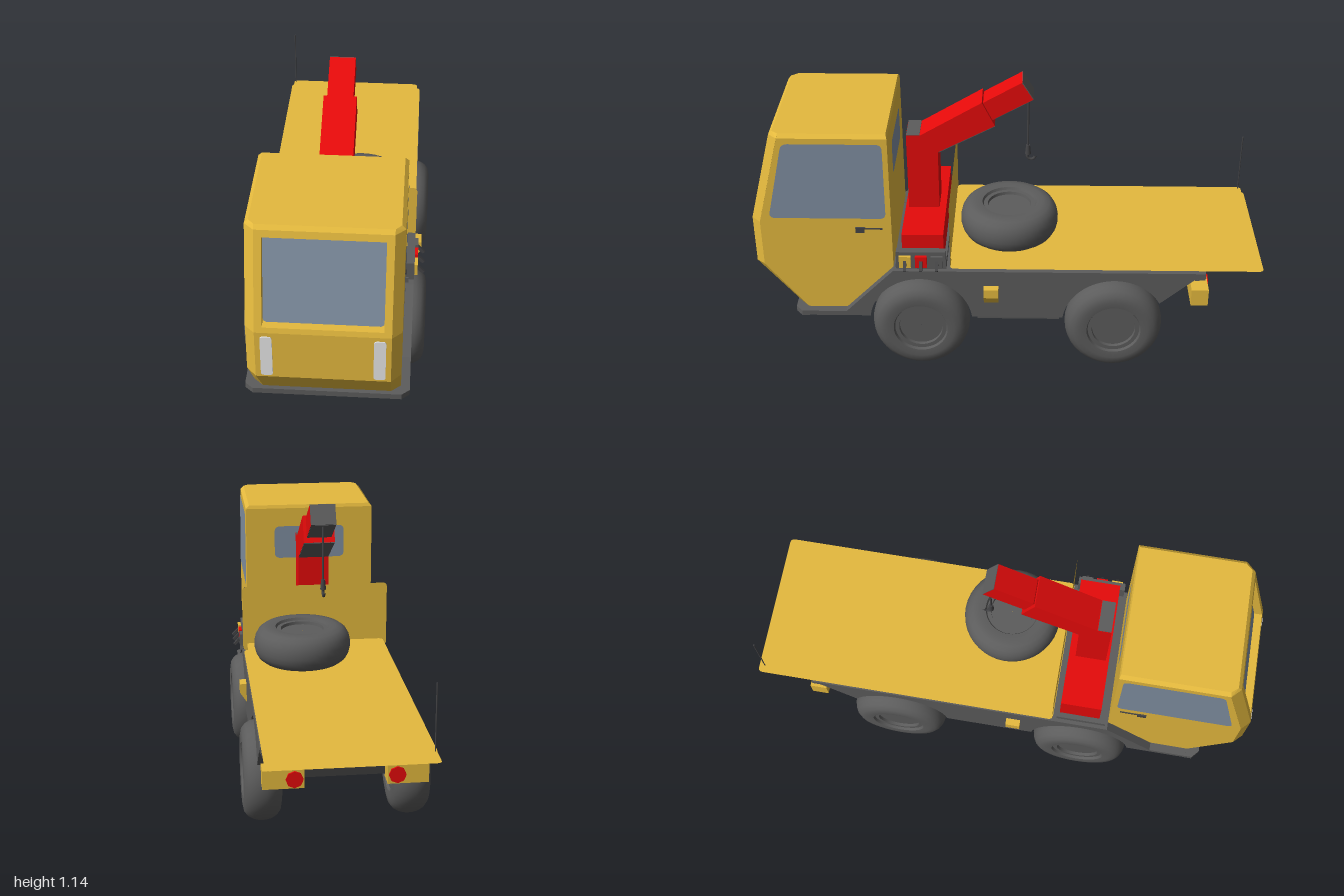
import * as THREE from 'three';
import { ConvexGeometry } from 'three/addons/geometries/ConvexGeometry.js';

const mat = (name, color, side = THREE.FrontSide) => {
  const m = new THREE.MeshStandardMaterial({ color, side });
  m.name = name;
  return m;
};

export function createModel() {
  const root = new THREE.Group();
  root.name = 'craneTruck';
  const yellow = mat('yellowPaint', 0xe5ba3e);
  const yellowSheet = mat('yellowSheet', 0xe5ba3e, THREE.DoubleSide);
  const grey = mat('chassisGrey', 0x5c5c5c);
  const red = mat('craneRed', 0xe60a0a);
  const glass = mat('windowGlass', 0x808fa1, THREE.DoubleSide);
  const lamp = mat('lampWhite', 0xe8e8e8);
  const dark = mat('darkMetal', 0x444446);

  const add = (name, geo, material, x = 0, y = 0, z = 0) => {
    const m = new THREE.Mesh(geo, material);
    m.name = name;
    m.position.set(x, y, z);
    root.add(m);
    return m;
  };
  // box given by its limits on each axis
  const box = (name, material, [x0, x1], [y0, y1], [z0, z1]) =>
    add(name, new THREE.BoxGeometry(x1 - x0, y1 - y0, z1 - z0), material,
      (x0 + x1) / 2, (y0 + y1) / 2, (z0 + z1) / 2);
  // convex block from corner points; the points are repeated for each sign of x
  const hull = (name, material, pts, signs = [-1, 1]) =>
    add(name, new ConvexGeometry(signs.flatMap(s => pts.map(([x, y, z]) => new THREE.Vector3(s * x, y, z)))), material);
  // polygon with rounded corners
  const roundedShape = (pts, r) => {
    const v = pts.map(p => new THREE.Vector2(...p));
    const s = new THREE.Shape();
    v.forEach((p, i) => {
      const toward = q => p.clone().add(q.clone().sub(p).setLength(r));
      const a = toward(v[(i + v.length - 1) % v.length]);
      const b = toward(v[(i + 1) % v.length]);
      if (i) s.lineTo(a.x, a.y); else s.moveTo(a.x, a.y);
      s.quadraticCurveTo(p.x, p.y, b.x, b.y);
    });
    s.closePath();
    return s;
  };
  const roundedRect = (w, h, r) =>
    roundedShape([[-w / 2, -h / 2], [w / 2, -h / 2], [w / 2, h / 2], [-w / 2, h / 2]], r);
  // side profile in (-z, y), extruded along x from x0 to x1
  const extrudeX = (name, shape, x0, x1, material) => {
    const g = new THREE.ExtrudeGeometry(shape, { depth: x1 - x0, bevelEnabled: false, curveSegments: 20 });
    g.rotateY(Math.PI / 2);
    return add(name, g, material, x0);
  };
  const poly = pts => new THREE.Shape(pts.map(p => new THREE.Vector2(...p)));

  // Cab: lower and upper bodies with chamfered front corners
  hull('cabLower', yellow, [[0.237, 0.64, 1], [0.237, 0.44, 1], [0.237, 0.24, 0.837], [0.272, 0.64, 0.965],
    [0.272, 0.445, 0.965], [0.272, 0.24, 0.805], [0.272, 0.24, 0.65], [0.272, 0.437, 0.455], [0.272, 0.64, 0.455]]);
  const slant = (y, inset) => 1 - (y - 0.64) * 0.2622 - inset;
  hull('cabUpper', yellow, [[0.272, 0.64, 0.965], [0.272, 0.64, 0.455], [0.272, 1.008, 0.868],
    [0.272, 1.008, 0.455], [0.258, 1.022, 0.46], [0.258, 1.022, 0.865]]);

  // Windscreen frame: pillars, sill and header standing proud of the glass
  for (const s of [-1, 1]) {
    const ends = [0.64, 1.008].flatMap(y => [[0.21, y, slant(y, 0)], [0.237, y, slant(y, 0)],
      [0.272, y, slant(y, 0.035)], [0.21, y, slant(y, 0.036)]]);
    hull('pillar', yellow, [...ends, [0.21, 1.022, 0.89], [0.237, 1.022, 0.89], [0.258, 1.022, 0.865],
      [0.21, 1.022, 0.865]], [s]);
  }
  hull('windscreenSill', yellow, [0.64, 0.66].flatMap(y => [[0.21, y, slant(y, 0)], [0.21, y, slant(y, 0.036)]]));
  hull('windscreenHeader', yellow, [[0.21, 0.982, slant(0.982, 0)], [0.21, 0.982, slant(0.982, 0.036)],
    [0.21, 1.008, slant(1.008, 0)], [0.21, 1.022, 0.89], [0.21, 1.022, 0.86]]);
  const screen = add('windscreen', new THREE.ShapeGeometry(roundedRect(0.42, 0.335, 0.02)),
    glass, 0, 0.821, slant(0.821, 0.031));
  screen.rotation.x = -Math.atan(0.2622);

  // Side and rear windows
  for (const s of [-1, 1]) {
    const pts = [[0.928, 0.66], [0.475, 0.66], [0.475, 0.986], [0.853, 0.986]].map(([z, y]) => [-s * z, y]);
    if (s < 0) pts.reverse();
    const w = add('sideWindow', new THREE.ShapeGeometry(roundedShape(pts, 0.025)), glass, s * 0.275);
    w.rotation.y = s * Math.PI / 2;
  }
  const rear = add('rearWindow', new THREE.ShapeGeometry(roundedRect(0.3, 0.14, 0.025)), glass, 0, 0.86, 0.451);
  rear.rotation.y = Math.PI;

  // Headlights and door handles
  for (const s of [-1, 1]) {
    add('headlight', new THREE.ExtrudeGeometry(roundedRect(0.042, 0.174, 0.012), { depth: 0.006, bevelEnabled: false }),
      lamp, s * 0.197, 0.537, 0.998);
    const x = s * 0.272;
    box('doorHandle', dark, [x - 0.004, x + 0.004], [0.611, 0.617], [0.49, 0.56]);
    box('doorLock', dark, [x - 0.006, x + 0.006], [0.597, 0.62], [0.56, 0.595]);
  }

  // Chassis centre
  extrudeX('chassis', poly([[-0.84, 0.22], [0.57, 0.22], [0.6, 0.293], [0.74, 0.415], [0.775, 0.415],
    [0.775, 0.435], [-0.455, 0.435], [-0.65, 0.24], [-0.84, 0.24]]), -0.21, 0.21, grey);

  // Side skirts with wheel arches
  const skirt = new THREE.Shape();
  skirt.moveTo(-0.82, 0.22);
  for (const p of [[-0.82, 0.24], [-0.65, 0.24], [-0.455, 0.437], [0.775, 0.437], [0.775, 0.415],
    [0.74, 0.415], [0.6, 0.293]]) skirt.lineTo(...p);
  skirt.absarc(0.42, 0.195, 0.205, 0.4987, Math.PI - 0.122, false);
  skirt.absarc(-0.35, 0.195, 0.205, 0.122, Math.PI - 0.122, false);
  skirt.closePath();
  extrudeX('leftSkirt', skirt, 0.21, 0.305, grey);
  extrudeX('rightSkirt', skirt, -0.305, -0.21, grey);
  hull('frontSill', grey, [0.218, 0.241].flatMap(y => [[0.305, y, 0.8], [0.305, y, 0.828], [0.275, y, 0.855]]));

  // Tanks under the chassis, with sloped inner sides
  for (const s of [-1, 1]) {
    const tank = poly([[s * 0.075, 0.222], [s * 0.085, 0.142], [s * 0.21, 0.142], [s * 0.215, 0.222]]);
    add('underTank', new THREE.ExtrudeGeometry(tank, { depth: 0.335, bevelEnabled: false }), grey, 0, 0, -0.205);
  }

  // Wheels: rounded tyre with a stepped hub; doubled points give sharp edges
  const half = [[0.001, 0.048], [0.085, 0.048], [0.085, 0.048], [0.087, 0.06], [0.087, 0.06], [0.103, 0.06],
    [0.103, 0.06], [0.108, 0.07], [0.108, 0.07], [0.135, 0.073], [0.16, 0.068], [0.178, 0.054], [0.189, 0.034],
    [0.194, 0.012]];
  const profile = [...half.map(([r, h]) => [r, -h]), ...half.slice().reverse()].map(p => new THREE.Vector2(...p));
  const wheelGeo = new THREE.LatheGeometry(profile, 40);
  for (const s of [-1, 1]) for (const z of [0.35, -0.42]) {
    const w = add(z > 0 ? 'frontWheel' : 'rearWheel', wheelGeo, grey, s * 0.282, 0.194, z);
    w.rotation.z = -s * Math.PI / 2;
  }
  add('spareWheel', wheelGeo, grey, 0.077, 0.557, 0);

  // Load bed: two thin sheets and a headboard
  const sheet = (name, w, h, y, z, flat) => {
    const m = add(name, new THREE.ShapeGeometry(roundedRect(w, h, 0.02)), yellowSheet, 0, y, z);
    if (flat) m.rotation.x = -Math.PI / 2;
  };
  sheet('bedLowerSheet', 0.606, 1.23, 0.45, -0.385, true);
  sheet('bedUpperSheet', 0.58, 1.21, 0.482, -0.377, true);
  sheet('headboard', 0.612, 0.28, 0.59, 0.228, false);
  add('rearPole', new THREE.CylinderGeometry(0.003, 0.002, 0.25, 8), dark, -0.282, 0.606, -0.97);

  // Crane base, post and telescopic arm
  box('craneBaseFrame', grey, [-0.29, 0.285], [0.43, 0.46], [0.245, 0.445]);
  box('craneBase', red, [-0.27, 0.27], [0.45, 0.585], [0.255, 0.418]);
  extrudeX('cranePostAndArm', poly([[-0.405, 0.58], [-0.282, 0.58], [-0.282, 0.838], [-0.057, 0.957],
    [-0.107, 1.057], [-0.35, 0.912], [-0.405, 0.912]]), -0.063, 0.063, red);
  extrudeX('armExtension', poly([[-0.2, 0.905], [-0.07, 0.975], [0.091, 1.066], [0.048, 1.138],
    [-0.1, 1.052]]), -0.05, 0.05, red);
  // grey plates on the post top, arm end and arm undersides
  const armPlate = (name, w, [z0, y0], [z1, y1]) => {
    const len = Math.hypot(z1 - z0, y1 - y0);
    const m = add(name, new THREE.BoxGeometry(w, 0.004, len), grey, 0, (y0 + y1) / 2, (z0 + z1) / 2);
    m.rotation.x = -Math.atan2(y1 - y0, z1 - z0);
  };
  armPlate('postTopPlate', 0.124, [0.352, 0.912], [0.404, 0.912]);
  armPlate('armEndPlate', 0.1, [-0.091, 1.066], [-0.048, 1.138]);
  armPlate('armUnderPlate', 0.124, [0.28, 0.838], [0.057, 0.956]);
  armPlate('extensionUnderPlate', 0.098, [0.065, 0.978], [-0.09, 1.066]);

  // Cable and hook
  add('cable', new THREE.CylinderGeometry(0.004, 0.004, 0.25, 8), dark, 0, 0.935, -0.072);
  const hook = add('hook', new THREE.TorusGeometry(0.016, 0.006, 8, 16, Math.PI * 1.2), dark, 0, 0.793, -0.085);
  hook.rotation.y = Math.PI / 2;
  hook.geometry.rotateZ(Math.PI * 0.8);
  add('hookBlock', new THREE.CylinderGeometry(0.008, 0.012, 0.04, 10), dark, 0, 0.82, -0.072);

  // Control panel with three levers
  box('controlPanel', grey, [0.275, 0.306], [0.45, 0.527], [0.245, 0.44]);
  [[0.405, yellow], [0.342, red], [0.28, grey]].forEach(([z, m]) => {
    box('controlBlock', m, [0.3, 0.318], [0.462, 0.512], [z - 0.023, z + 0.023]);
    const lever = add('controlLever', new THREE.BoxGeometry(0.045, 0.012, 0.012), dark, 0.325, 0.478, z);
    lever.rotation.z = -0.8;
  });

  // Wheel chocks, rear lamps and rear bar
  for (const s of [-1, 1]) {
    const chock = poly([[s * 0.3, 0.37], [s * 0.332, 0.368], [s * 0.332, 0.33], [s * 0.305, 0.29], [s * 0.3, 0.29]]);
    add('wheelChock', new THREE.ExtrudeGeometry(chock, { depth: 0.058, bevelEnabled: false }), yellow, 0, 0, 0.04);
    const [a, b] = [s * 0.15, s * 0.3].sort((p, q) => p - q);
    box('rearLampBox', yellow, [a, b], [0.283, 0.355], [-0.793, -0.725]);
    box('lampBracket', grey, [s * 0.22 - 0.015, s * 0.22 + 0.015], [0.35, 0.42], [-0.763, -0.745]);
    const light = add('rearLight', new THREE.CylinderGeometry(0.032, 0.032, 0.008, 8), red, s * 0.185, 0.319, -0.796);
    light.rotation.x = Math.PI / 2;
  }
  box('rearBar', grey, [-0.3, 0.3], [0.405, 0.437], [-0.775, -0.745]);

  return root;
}
